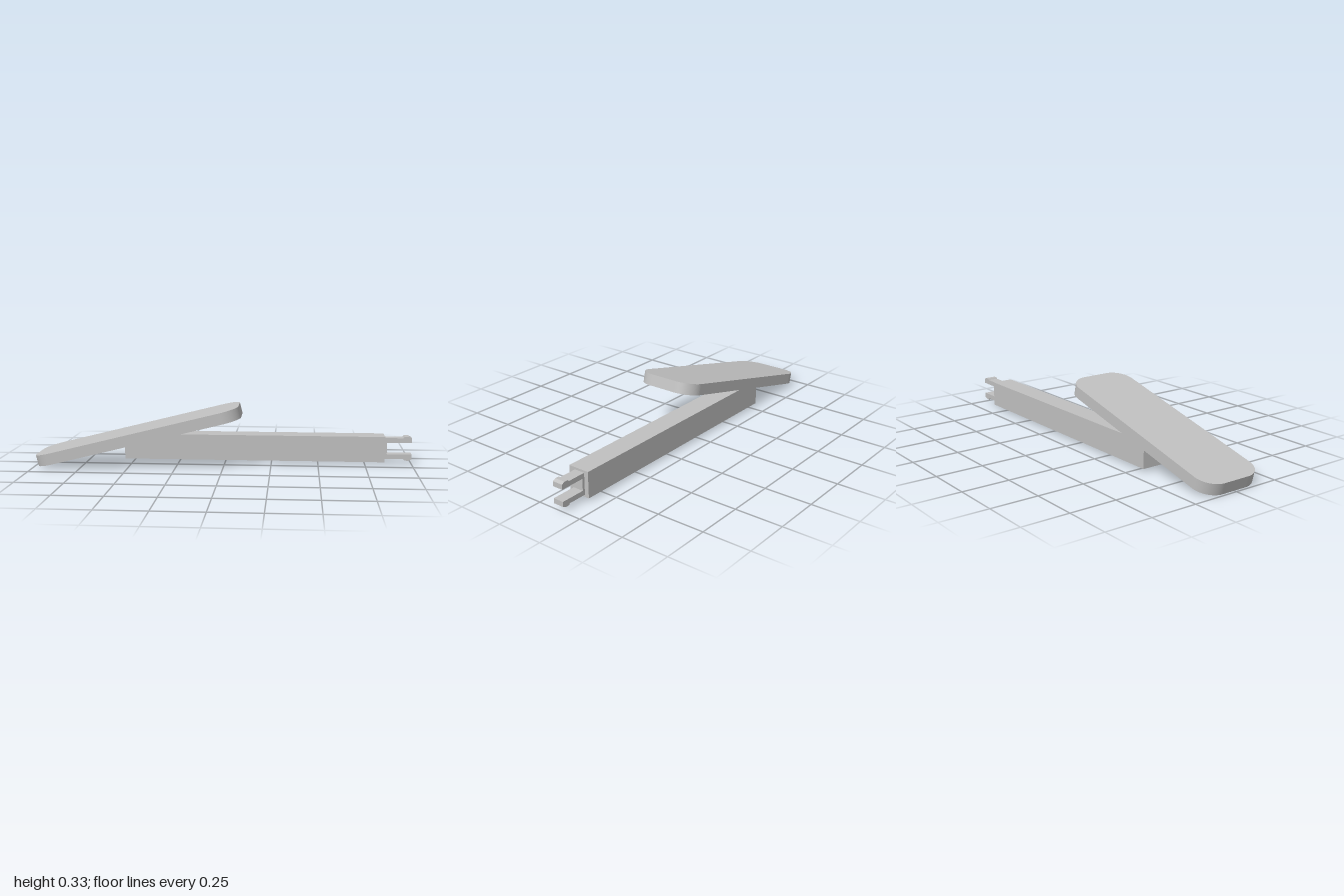
import * as THREE from 'three';

export function createModel() {
  const group = new THREE.Group();
  const grey = new THREE.MeshStandardMaterial({ color: 0xc0c0c0 });
  grey.name = 'light grey';

  const add = (name, geometry, x, y, z) => {
    const mesh = new THREE.Mesh(geometry, grey);
    mesh.name = name;
    mesh.position.set(x, y, z);
    group.add(mesh);
    return mesh;
  };

  // Tilted paddle: rounded rectangle, extruded through its thickness
  const hl = 0.556, hw = 0.174, r = 0.1, thick = 0.06;
  const outline = new THREE.Shape();
  outline.absarc(hl - r, hw - r, r, 0, Math.PI / 2);
  outline.absarc(-hl + r, hw - r, r, Math.PI / 2, Math.PI);
  outline.absarc(-hl + r, -hw + r, r, Math.PI, Math.PI * 1.5);
  outline.absarc(hl - r, -hw + r, r, Math.PI * 1.5, Math.PI * 2);
  const paddleGeo = new THREE.ExtrudeGeometry(outline, { depth: thick, bevelEnabled: false, curveSegments: 16 });
  paddleGeo.translate(0, 0, -thick / 2);
  paddleGeo.rotateX(-Math.PI / 2);
  const paddle = add('paddle', paddleGeo, -0.453, 0.1636, 0);
  paddle.rotation.z = THREE.MathUtils.degToRad(14);

  // Straight square arm along the back edge
  const armY = 0.0835;
  add('arm', new THREE.BoxGeometry(1.4, 0.137, 0.116), 0.155, armY, -0.116);

  // Forked clip: mirrored prongs with barbs, joined by a thin base
  const upper = [
    [0.868, 0.031], [1, 0.031], [1, 0.057], [0.983, 0.065],
    [0.962, 0.065], [0.955, 0.057], [0.855, 0.057],
  ];
  const lower = upper.map(([x, y]) => [x, -y]).reverse();
  const fork = new THREE.Shape([...upper, ...lower].map(([x, y]) => new THREE.Vector2(x, y)));
  add('forkedClip', new THREE.ExtrudeGeometry(fork, { depth: 0.057, bevelEnabled: false }), 0, armY, -0.15);

  return group;
}
